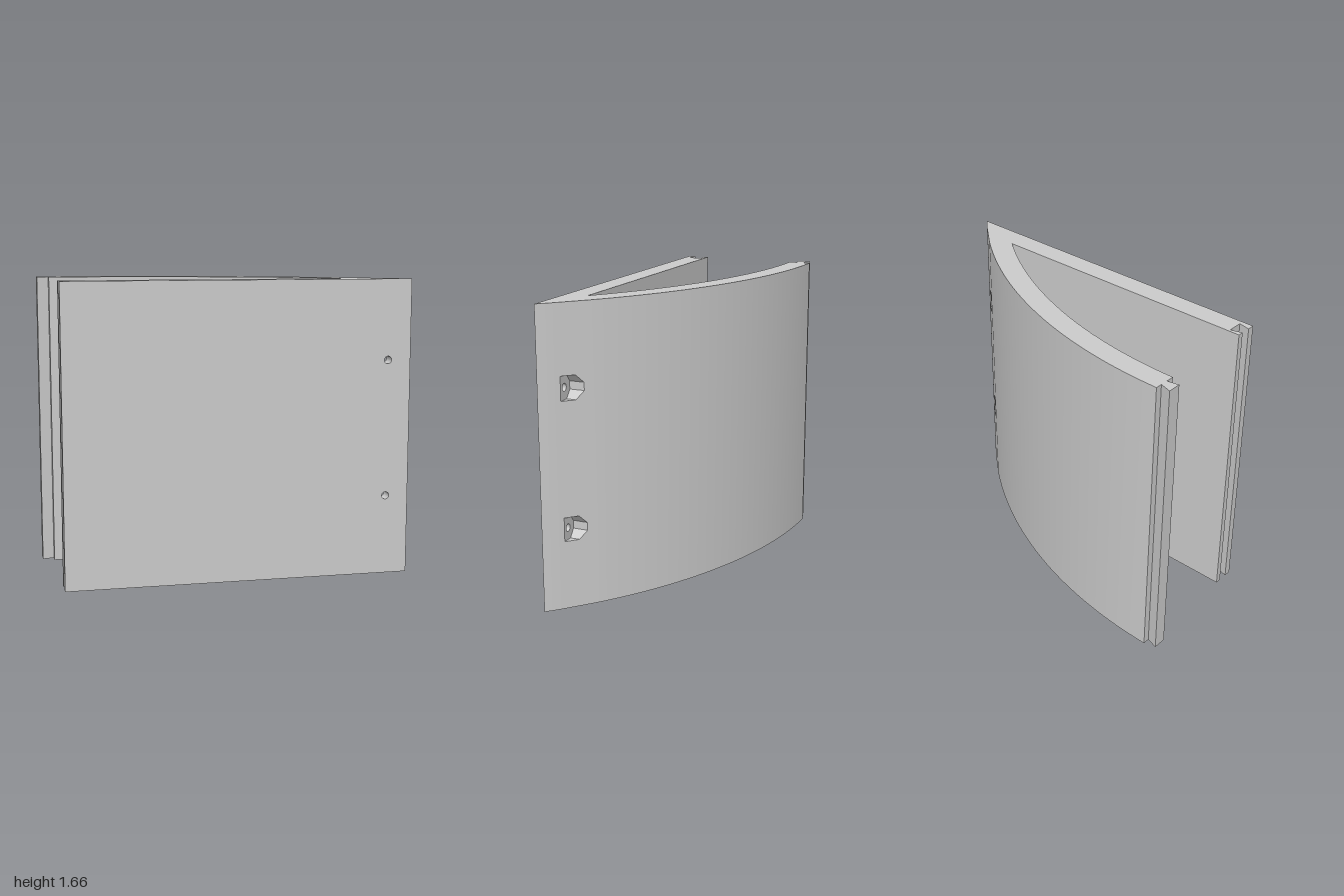
import * as THREE from 'three';
import { mergeGeometries, toCreasedNormals } from 'three/addons/utils/BufferGeometryUtils.js';

const H = 1.66, END = -0.935, FRONT = 0.4, FLOOR = 0.315;
const AX = -0.92, AZ = 2.304, R_OUT = 2.704, R_IN = 2.577; // arc centre and radii
const P0 = 0.78, P1 = 0.93;                               // flat strip holding the pockets
const HOLE_X = 0.87, HOLE_R = 0.021, HOLE_Y = [0.447, 1.213];

const arcZ = (x, r) => AZ - Math.sqrt(r * r - (x - AX) ** 2);
const arc = (x0, x1, r, n) => Array.from({ length: n + 1 }, (_, i) => {
  const x = x0 + (x1 - x0) * i / n;
  return [x, arcZ(x, r)];
});
const stripZ = x => THREE.MathUtils.mapLinear(x, P0, P1, arcZ(P0, R_OUT), arcZ(P1, R_OUT));

// Flat outline with holes, each corner placed in space by a rule
function face(outline, holes, place, flip = false) {
  const toVec = p => new THREE.Vector2(p[0], p[1]);
  const shape = new THREE.Shape(outline.map(toVec));
  shape.holes = holes.map(h => new THREE.Path(h.map(toVec)));
  const g = new THREE.ShapeGeometry(shape).toNonIndexed();
  const p = g.attributes.position, pts = [];
  for (let i = 0; i < p.count; i++) pts.push(new THREE.Vector3(...place(p.getX(i), p.getY(i))));
  if (flip) for (let i = 0; i < pts.length; i += 3) [pts[i], pts[i + 1]] = [pts[i + 1], pts[i]];
  return new THREE.BufferGeometry().setFromPoints(pts);
}

// Quads between two matching rows of points
function loft(a, b, closed = false) {
  const pts = [], n = a.length;
  const tri = (...t) => {
    const v = t.map(p => new THREE.Vector3(...p));
    if (new THREE.Triangle(...v).getArea() > 1e-8) pts.push(...v);
  };
  for (let i = 0; i < (closed ? n : n - 1); i++) {
    const j = (i + 1) % n;
    tri(a[i], a[j], b[j]);
    tri(a[i], b[j], b[i]);
  }
  return new THREE.BufferGeometry().setFromPoints(pts);
}

const wall = pts => loft(pts.map(([x, z]) => [x, 0, z]), pts.map(([x, z]) => [x, H, z]));
const rect = (x0, x1) => [[x0, 0], [x1, 0], [x1, H], [x0, H]];

export function createModel() {
  // Plan of the panel, counter-clockwise from above
  const tip = arc(1, P1, R_OUT, 3);
  const outer = arc(P0, END, R_OUT, 28);
  const innerEnd = AX + Math.sqrt(R_IN ** 2 - (AZ - 0.275) ** 2);
  const rest = [
    outer[outer.length - 1],
    [END, -0.362], [-1, -0.382], [-1, -0.307], [END, -0.32],   // dovetail tongue
    ...arc(END, innerEnd, R_IN, 28),
    [END, 0.275],
    [END, 0.307], [-0.87, 0.29], [-0.87, 0.375], [END, 0.36],  // dovetail slot
    [END, FRONT],
  ];
  const plan = [...tip, ...outer, ...rest.slice(1)].map(([x, z]) => [x, -z]);

  // Nut pockets open to the curved side, with a bolt hole to the front
  const xEnd = THREE.MathUtils.mapLinear(FLOOR, stripZ(P0), stripZ(P1), P0, P1);
  const pockets = HOLE_Y.map(y => [
    [xEnd, y - 0.066], [xEnd, y + 0.066], [0.848, y + 0.066],
    [0.813, y + 0.022], [0.813, y - 0.022], [0.848, y - 0.066],
  ]);
  const bores = HOLE_Y.map(y => Array.from({ length: 24 }, (_, i) => {
    const t = i / 24 * Math.PI * 2;
    return [HOLE_X + HOLE_R * Math.cos(t), y + HOLE_R * Math.sin(t)];
  }));
  const atZ = z => (x, y) => [x, y, z];
  const onStrip = (x, y) => [x, y, stripZ(x)];
  const row = (pts, place) => pts.map(([x, y]) => place(x, y));

  const parts = {
    topEdge: [face(plan, [], (x, y) => [x, H, -y])],
    bottomEdge: [face(plan, [], (x, y) => [x, 0, -y], true)],
    curvedAndInnerSides: [
      wall(tip), wall(outer), wall(rest),
      face(rect(P0, P1), pockets, onStrip, true),
    ],
    frontPanel: [face(rect(END, 1), bores, atZ(FRONT))],
    nutPockets: pockets.flatMap((p, i) => [
      loft(row(p, atZ(FLOOR)), row(p, onStrip), true),
      face(p, [bores[i]], atZ(FLOOR), true),
    ]),
    boltHoles: bores.map(b => loft(row(b, atZ(FRONT)), row(b, atZ(FLOOR)), true)),
  };

  const material = new THREE.MeshStandardMaterial({ color: 0xcccccc });
  const group = new THREE.Group();
  group.name = 'curvedWedgePanel';
  for (const [name, list] of Object.entries(parts)) {
    const mesh = new THREE.Mesh(toCreasedNormals(mergeGeometries(list), 0.3), material);
    mesh.name = name;
    group.add(mesh);
  }
  return group;
}
